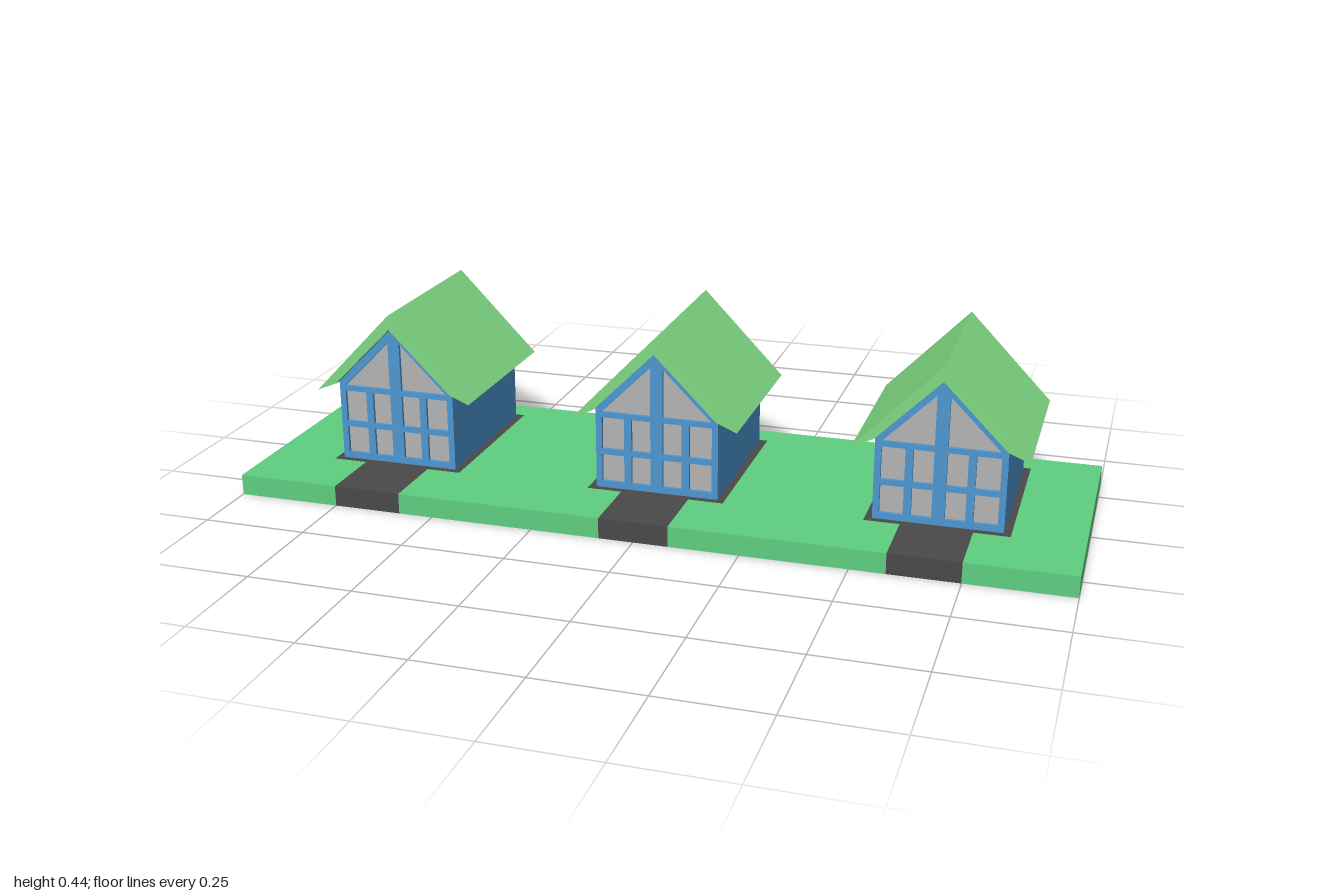
import * as THREE from 'three';

const SLAB = 0.05;            // ground thickness
const FRONT = 1 / 3;          // half depth of the ground
const HOUSES = [-2 / 3, 0, 2 / 3];

const mat = (color) => new THREE.MeshStandardMaterial({ color, flatShading: true });
const polygon = (pts) => new THREE.Shape(pts.map(([x, y]) => new THREE.Vector2(x, y)));

// Outline in x/y extruded from z0 to z1
function prism(name, shape, z0, z1, material) {
  const geo = new THREE.ExtrudeGeometry(shape, { depth: z1 - z0, bevelEnabled: false });
  geo.translate(0, 0, z0);
  const mesh = new THREE.Mesh(geo, material);
  mesh.name = name;
  return mesh;
}

// Outline in x/-z extruded upwards from the floor
function slab(name, pts, material) {
  const mesh = prism(name, polygon(pts), 0, SLAB, material);
  mesh.geometry.rotateX(-Math.PI / 2);
  return mesh;
}

// T outline of a foundation with its driveway, from the front edge round to the front edge
const paving = (cx) => [
  [-0.083, -FRONT], [-0.083, -0.167], [-0.167, -0.167], [-0.167, 0.265],
  [0.167, 0.265], [0.167, -0.167], [0.083, -0.167], [0.083, -FRONT],
].map(([x, y]) => [x + cx, y]);

const gable = () => polygon([[-0.15, SLAB], [0.15, SLAB], [0.15, 0.25], [0, 0.4], [-0.15, 0.25]]);

// Front wall with window openings
function frontFrame() {
  const shape = gable();
  const hole = (pts) => shape.holes.push(polygon(pts));
  for (const s of [-1, 1]) {
    for (const [a, b] of [[0.015, 0.062], [0.08, 0.135]]) {
      for (const [lo, hi] of [[0.066, 0.134], [0.148, 0.227]]) {
        hole([[s * a, lo], [s * b, lo], [s * b, hi], [s * a, hi]]);
      }
    }
    hole([[s * 0.015, 0.24], [s * 0.135, 0.24], [s * 0.015, 0.36]]);
  }
  return shape;
}

export function createModel() {
  const grass = mat(0x5fd080), asphalt = mat(0x4a4a4a), blue = mat(0x4d98d2);
  const roofGreen = mat(0x80da84), glass = mat(0xb4b4b4);
  const model = new THREE.Group();
  model.name = 'houseRow';

  // Ground notched around each paved area
  const outline = [[-1, -FRONT], ...HOUSES.flatMap(paving), [1, -FRONT], [1, FRONT], [-1, FRONT]];
  model.add(slab('ground', outline, grass));

  HOUSES.forEach((x, i) => {
    model.add(slab('driveway' + (i + 1), paving(x), asphalt));

    const house = new THREE.Group();
    house.name = 'house' + (i + 1);
    house.position.x = x;
    house.add(prism('walls', gable(), -0.25, 0.138, blue));
    house.add(prism('frontWindowFrame', frontFrame(), 0.138, 0.15, blue));

    // Glass sheet set back behind the frame
    const pane = polygon([[-0.14, 0.06], [0.14, 0.06], [0.14, 0.245], [0, 0.385], [-0.14, 0.245]]);
    house.add(prism('windowGlass', pane, 0.136, 0.142, glass));

    // Roof with eaves tapering to a thin edge
    const roof = polygon([
      [-0.2, 0.229], [-0.15, 0.25], [0, 0.4], [0.15, 0.25], [0.2, 0.229], [0, 0.436],
    ]);
    house.add(prism('roof', roof, -0.27, 0.17, roofGreen));
    model.add(house);
  });
  return model;
}
